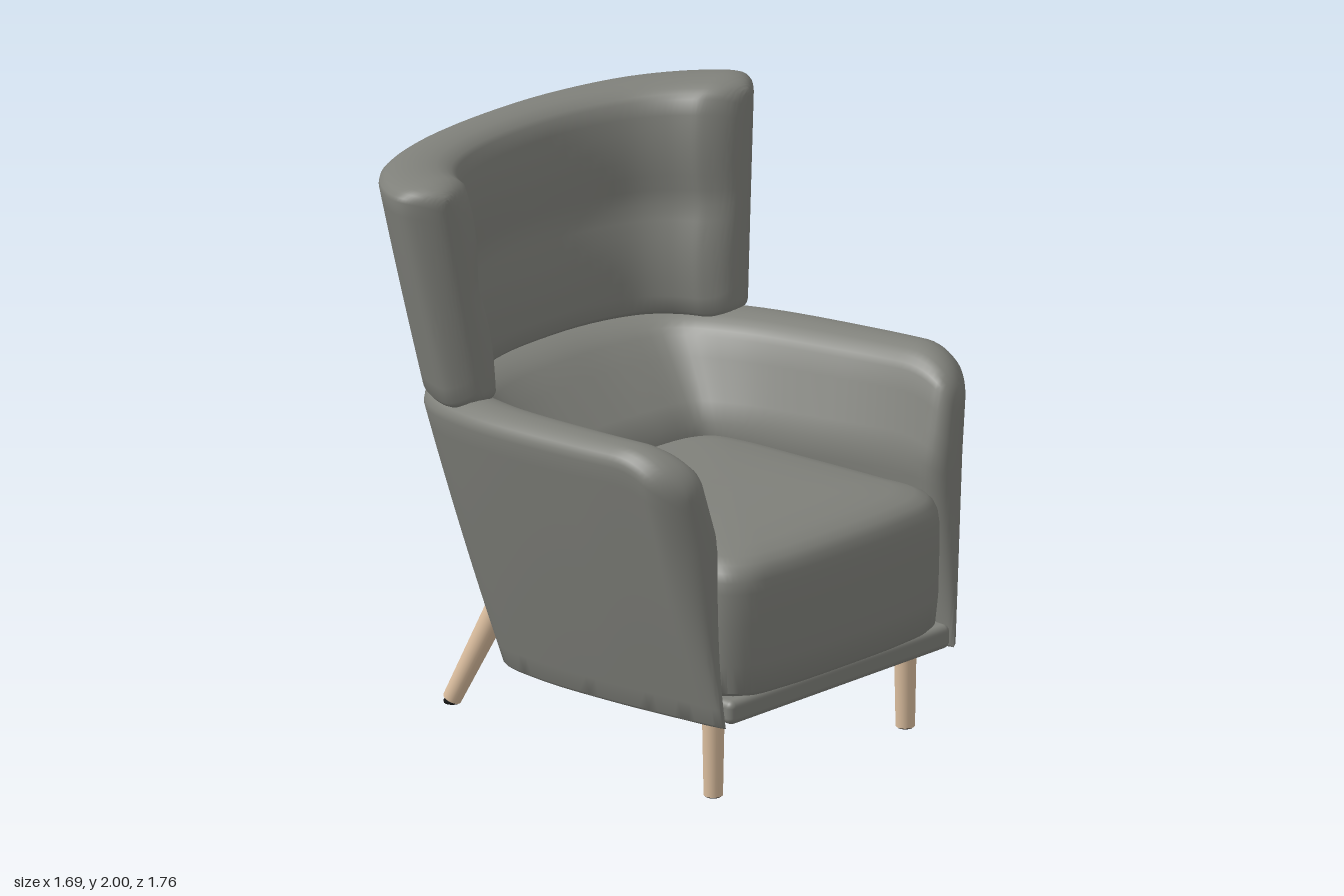
import * as THREE from 'three';
import { toCreasedNormals } from 'three/addons/utils/BufferGeometryUtils.js';
import { RoundedBoxGeometry } from 'three/addons/geometries/RoundedBoxGeometry.js';

const lerp = THREE.MathUtils.lerp;

// Skin a list of closed cross-sections (arrays of Vector3)
function loft(sections) {
  const n = sections[0].length, pos = [], idx = [];
  for (const s of sections) for (const p of s) pos.push(p.x, p.y, p.z);
  for (let i = 0; i < sections.length - 1; i++) {
    for (let j = 0; j < n; j++) {
      const a = i * n + j, b = a + n, d = i * n + (j + 1) % n, c = d + n;
      idx.push(a, b, c, a, c, d);
    }
  }
  const g = new THREE.BufferGeometry();
  g.setAttribute('position', new THREE.Float32BufferAttribute(pos, 3));
  g.setIndex(idx);
  return toCreasedNormals(g, 0.75);
}

// Smooth U-shaped plan curve from its left half [x, z], front tip to centre back
function planCurve(half) {
  const left = half.map(([x, z]) => new THREE.Vector3(x, 0, z));
  const right = half.slice(0, -1).reverse().map(([x, z]) => new THREE.Vector3(-x, 0, z));
  return new THREE.CatmullRomCurve3([...left, ...right]);
}

// Wall profile as [height 0..1, depth 0 outside .. 1 inside], rounded top and bottom
function wallProfile(rTop, rBot) {
  const pts = [], n = 14;
  for (let i = 0; i < n; i++) pts.push([lerp(rBot, 1 - rTop, i / n), 0]);
  for (let i = 0; i < 10; i++) {
    const a = i / 10 * Math.PI;
    pts.push([1 - rTop + rTop * Math.sin(a), (1 - Math.cos(a)) / 2]);
  }
  for (let i = 0; i < n; i++) pts.push([lerp(1 - rTop, rBot, i / n), 1]);
  for (let i = 0; i < 8; i++) {
    const a = i / 8 * Math.PI;
    pts.push([rBot - rBot * Math.sin(a), (1 + Math.cos(a)) / 2]);
  }
  return pts;
}

// Curved upholstered wall whose plan changes with height and whose ends are rounded
function curvedWall(o) {
  const outLow = planCurve(o.outerLow), outTop = planCurve(o.outerTop);
  const inLow = planCurve(o.innerLow), inTop = planCurve(o.innerTop);
  const profile = wallProfile(o.rTop, o.rBot), us = [], N = 44;
  for (let i = 0; i <= N; i++) us.push(0.5 * Math.pow(i / N, 2.3));
  for (let i = N - 1; i >= 0; i--) us.push(1 - us[i]);
  const round = (d, len) => Math.sqrt(1 - (1 - Math.min(1, d / len)) ** 2);
  const middle = new THREE.Vector3(0, 0, 0.3);
  return loft(us.map((u) => {
    const a = outLow.getPoint(u), b = outTop.getPoint(u), c = inLow.getPoint(u), e = inTop.getPoint(u);
    const rim = a.clone().lerp(middle, 0.08);
    const d = Math.min(b.distanceTo(outTop.getPoint(0)), b.distanceTo(outTop.getPoint(1)));
    const fs = round(d, o.endDepth), fk = round(d, o.endLength);
    const lo = o.dropLow * (1 - fk), hi = 1 - o.dropTop * (1 - fk);
    return profile.map(([k0, s0]) => {
      const k = lerp(lo, hi, k0);
      const swell = s0 > 0.99 ? o.swell * Math.abs(Math.sin(2 * Math.PI * k0)) : 0;
      const s = 0.5 + (s0 - 0.5 + swell) * fs;
      // Below the seat the inside flares back to a thin rim around the open base
      const inner = k < o.innerBase ? rim.clone().lerp(c, k / o.innerBase)
        : c.clone().lerp(e, (k - o.innerBase) / (1 - o.innerBase));
      const p = a.clone().lerp(b, k + o.bow * k * (1 - k)).lerp(inner, s);
      p.y = lerp(o.yLow(p.z), o.yTop(p.z), k);
      return p;
    });
  }));
}

// Crowned seat cushion built from rounded trapezoid rings, hollow underneath
function cushionGeometry() {
  const half = [[0.0, 0.88], [0.3, 0.872], [0.46, 0.845], [0.535, 0.77], [0.525, 0.6],
    [0.49, 0.25], [0.455, -0.06], [0.415, -0.18], [0.32, -0.235], [0, -0.25]];
  const pts = [...half, ...half.slice(1, -1).reverse().map(([x, z]) => [-x, z])]
    .map(([x, z]) => new THREE.Vector3(x, 0, z)).reverse();
  const outline = new THREE.CatmullRomCurve3(pts, true).getPoints(96).slice(0, -1);
  const rings = [[0.51, 0.001], [0.51, 0.93], [0.382, 0.95], [0.4, 0.98], [0.5, 0.995], [0.64, 1], [0.76, 1],
    [0.8, 0.992], [0.83, 0.972], [0.852, 0.94], [0.87, 0.88], [0.884, 0.77], [0.895, 0.55], [0.9, 0.3], [0.902, 0.001]];
  return loft(rings.map(([y, s]) =>
    outline.map((p) => new THREE.Vector3(p.x * s, y, 0.34 + (p.z - 0.34) * s))));
}

export function createModel() {
  const model = new THREE.Group();
  const material = (name, color) => Object.assign(new THREE.MeshStandardMaterial({ color }), { name });
  const fabric = material('grey fabric', 0x7f807a);
  const wood = material('pale wood', 0xdabd9e);
  const black = material('black webbing', 0x151515);
  const lining = material('lining grey', 0x929997);
  const add = (name, geometry, mat, parent = model) => {
    const m = new THREE.Mesh(geometry, mat);
    m.name = name;
    parent.add(m);
    return m;
  };

  // Arms and lower back in one wrap-around shell
  add('armAndBackShell', curvedWall({
    outerLow: [[0.58, 0.85], [0.575, 0.3], [0.54, -0.08], [0.475, -0.29], [0.28, -0.4], [0, -0.42]],
    outerTop: [[0.795, 0.7], [0.795, 0.3], [0.745, -0.25], [0.64, -0.53], [0.37, -0.71], [0, -0.755]],
    innerLow: [[0.53, 0.82], [0.46, 0.3], [0.41, -0.04], [0.355, -0.16], [0.2, -0.19], [0, -0.2]],
    innerTop: [[0.62, 0.79], [0.6, 0.3], [0.54, -0.2], [0.45, -0.43], [0.25, -0.53], [0, -0.55]],
    innerBase: 0.65, rTop: 0.07, rBot: 0.015, swell: 0, bow: 0.12,
    endDepth: 0.07, endLength: 0.2, dropTop: 0.18, dropLow: 0,
    yLow: (z) => 0.24 + 0.066 * z, yTop: (z) => 1.248 + 0.08 * z,
  }), fabric).position.x = -0.008;

  // Winged headrest with a soft crease across the middle
  add('wingedHeadrest', curvedWall({
    outerLow: [[0.71, -0.25], [0.725, -0.32], [0.67, -0.47], [0.54, -0.6], [0.3, -0.7], [0, -0.74]],
    outerTop: [[0.85, -0.34], [0.86, -0.44], [0.78, -0.6], [0.6, -0.76], [0.3, -0.865], [0, -0.89]],
    innerLow: [[0.53, -0.225], [0.515, -0.3], [0.47, -0.4], [0.385, -0.485], [0.22, -0.54], [0, -0.555]],
    innerTop: [[0.645, -0.295], [0.6, -0.38], [0.53, -0.49], [0.42, -0.585], [0.23, -0.66], [0, -0.685]],
    innerBase: 0, rTop: 0.06, rBot: 0.04, swell: 0.1, bow: 0.1,
    endDepth: 0.14, endLength: 0.13, dropTop: 0.08, dropLow: 0.08,
    yLow: () => 1.185, yTop: (z) => 2.05 + 0.115 * z,
  }), fabric);

  add('seatCushion', cushionGeometry(), fabric).position.x = -0.01;
  add('frontRail', new RoundedBoxGeometry(1.08, 0.085, 0.1, 4, 0.025), fabric).position.set(-0.01, 0.343, 0.79);

  // Frame inside the open base
  const frame = new THREE.Group();
  frame.name = 'undersideFrame';
  frame.position.x = -0.01;
  model.add(frame);
  const slab = (name, w, h, d, x, y, z, mat) => {
    const m = add(name, new THREE.BoxGeometry(w, h, d), mat, frame);
    m.position.set(x, y, z);
    return m;
  };
  slab('frontBoard', 0.94, 0.2, 0.02, 0, 0.402, 0.735, wood);
  slab('frontBatten', 0.9, 0.03, 0.03, 0, 0.395, 0.71, wood);
  slab('webbing', 0.8, 0.01, 0.72, 0, 0.503, 0.36, black);
  slab('rearLedge', 0.74, 0.02, 0.26, 0, 0.38, -0.19, wood);
  slab('rearLining', 0.5, 0.13, 0.012, 0, 0.305, -0.31, lining);
  for (const side of [1, -1]) {
    slab('cornerBlock', 0.17, 0.13, 0.03, side * 0.33, 0.305, -0.255, wood);
    slab('sideLining', 0.012, 0.21, 0.62, side * 0.418, 0.4, 0.25, lining).rotation.y = side * 0.09;
  }

  // Tapered legs with thin dark foot pads
  const leg = (name, foot, top, rFoot, rTop) => {
    const a = new THREE.Vector3(...foot), b = new THREE.Vector3(...top);
    const dir = b.clone().sub(a), g = new THREE.Group();
    g.name = name;
    g.position.x = -0.018;
    model.add(g);
    const shaft = add('legShaft', new THREE.CylinderGeometry(rTop, rFoot, dir.length(), 24), wood, g);
    shaft.position.copy(a).lerp(b, 0.5);
    shaft.quaternion.setFromUnitVectors(new THREE.Vector3(0, 1, 0), dir.clone().normalize());
    add('legTop', new THREE.SphereGeometry(rTop, 24, 12), wood, g).position.copy(b);
    add('footPad', new THREE.CylinderGeometry(rFoot * 0.9, rFoot * 0.85, 0.008, 24), black, g)
      .position.set(a.x, 0.004, a.z);
  };
  for (const side of [1, -1]) {
    leg('frontLeg', [side * 0.47, 0.004, 0.695], [side * 0.47, 0.32, 0.695], 0.033, 0.039);
    leg('backLeg', [side * 0.42, 0.015, -0.58], [side * 0.365, 0.365, -0.42], 0.033, 0.043);
  }
  return model;
}
